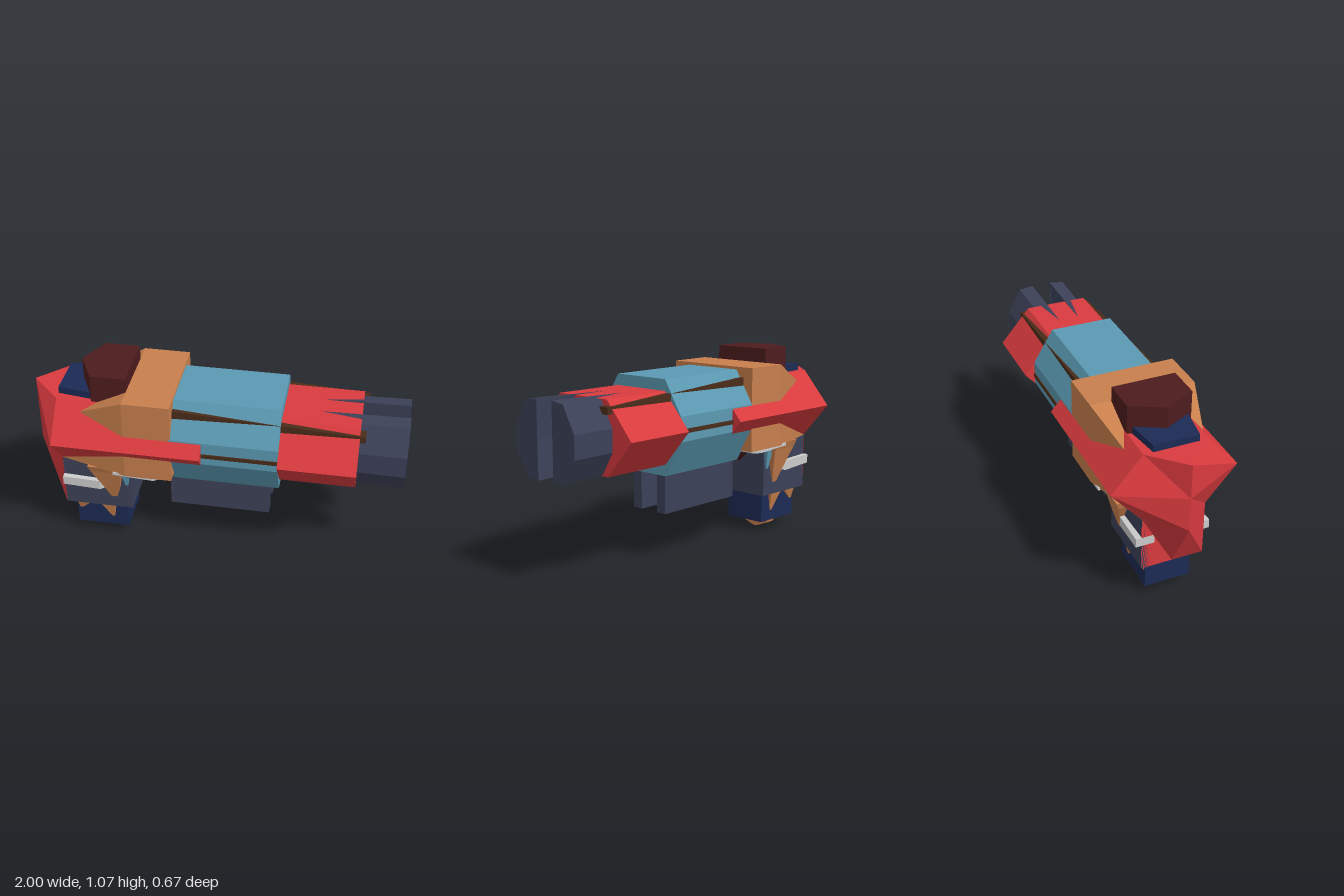
import * as THREE from 'three';

const RED = 0xd93a3e, ORANGE = 0xc87f4d, TEAL = 0x5b9ab3, SLATE = 0x3c4158;
const NAVY = 0x1c2a55, MAROON = 0x4e1c1e, BROWN = 0x4a2c1a, GREY = 0xcccccc;

export function createModel() {
  const model = new THREE.Group();

  function add(name, color, geometry) {
    const mesh = new THREE.Mesh(geometry, new THREE.MeshStandardMaterial({ color, flatShading: true }));
    mesh.name = name;
    model.add(mesh);
    return mesh;
  }

  // Box given by its limits on each axis
  function box(name, color, [x0, x1], [y0, y1], [z0, z1]) {
    const g = new THREE.BoxGeometry(x1 - x0, y1 - y0, z1 - z0);
    g.translate((x0 + x1) / 2, (y0 + y1) / 2, (z0 + z1) / 2);
    return add(name, color, g);
  }

  // Closed skin through matching rings of [x, y, z] corners, turned outward
  function loft(name, color, rings) {
    const tris = [], n = rings[0].length, last = rings[rings.length - 1];
    for (let r = 0; r + 1 < rings.length; r++) {
      for (let i = 0; i < n; i++) {
        const j = (i + 1) % n, a = rings[r], b = rings[r + 1];
        tris.push([a[i], a[j], b[j]], [a[i], b[j], b[i]]);
      }
    }
    for (let i = 1; i + 1 < n; i++) {
      tris.push([rings[0][0], rings[0][i + 1], rings[0][i]], [last[0], last[i], last[i + 1]]);
    }
    let volume = 0;
    for (const t of tris) {
      const [a, b, c] = t.map((p) => new THREE.Vector3(...p));
      volume += a.dot(b.cross(c));
    }
    if (volume < 0) tris.forEach((t) => t.reverse());
    const g = new THREE.BufferGeometry();
    g.setAttribute('position', new THREE.Float32BufferAttribute(tris.flat(2), 3));
    g.computeVertexNormals();
    return add(name, color, g);
  }

  const ringX = (x, zy) => zy.map(([z, y]) => [x, y, z]);
  const rectX = (x, y0, y1, z0, z1) => ringX(x, [[z0, y0], [z1, y0], [z1, y1], [z0, y1]]);
  const rectY = (y, x0, x1, z) => [[x0, y, -z], [x1, y, -z], [x1, y, z], [x0, y, z]];

  // Hexagonal red housing, rear and front
  const hex = [[0.17, 0.92], [0.335, 0.73], [0.17, 0.54], [-0.17, 0.54], [-0.335, 0.73], [-0.17, 0.92]];
  loft('rearBody', RED, [ringX(-0.835, hex), ringX(-0.05, hex)]);
  loft('frontBody', RED, [ringX(0.35, hex), ringX(0.75, hex)]);

  // Rear wedge closing to a vertical edge, with a guard reaching down the grip
  const wedge = [[0.17, 0.92], [0.335, 0.73], [0.17, 0.54], [-0.17, 0.54], [-0.335, 0.73], [-0.17, 0.92]];
  const edge = [[0, 0.92], [0, 0.73], [0, 0.54], [0, 0.54], [0, 0.73], [0, 0.92]];
  loft('rearWedge', RED, [ringX(-1, edge), ringX(-0.835, wedge)]);
  loft('rearGuard', RED, [
    [[-1, 0.54, 0], [-0.835, 0.54, 0.17], [-0.835, 0.54, -0.17]],
    [[-0.835, 0.23, 0], [-0.835, 0.23, 0.17], [-0.835, 0.23, -0.17]],
  ]);

  // Teal middle
  const oct = [[0.17, 0.98], [0.28, 0.8], [0.28, 0.67], [0.17, 0.48],
    [-0.17, 0.48], [-0.28, 0.67], [-0.28, 0.8], [-0.17, 0.98]];
  loft('midBody', TEAL, [ringX(-0.22, oct), ringX(0.35, oct)]);
  box('sideGroove', BROWN, [-0.2, 0.35], [0.713, 0.735], [-0.286, 0.286]);

  // Orange collar tapering to the rear
  loft('collar', ORANGE, [
    rectX(-0.835, 0.538, 0.81, -0.17, 0.17),
    rectX(-0.46, 0.538, 0.995, -0.28, 0.28),
    rectX(-0.21, 0.538, 0.995, -0.28, 0.28),
  ]);

  // Pointed sight block and the rear panel behind it
  const sight = [[-0.73, 0], [-0.645, 0.17], [-0.46, 0.17], [-0.46, -0.17], [-0.645, -0.17]];
  loft('sight', MAROON, [0.92, 1.073].map((y) => sight.map(([x, z]) => [x, y, z])));
  loft('rearPanel', NAVY, [
    rectX(-0.835, 0.7, 0.957, -0.12, 0.12),
    rectX(-0.6, 0.7, 0.96, -0.155, 0.155),
  ]);

  // Grip and its foot
  box('grip', SLATE, [-0.835, -0.46], [0.23, 0.56], [-0.168, 0.168]);
  box('gripFoot', NAVY, [-0.79, -0.5], [0.06, 0.24], [-0.124, 0.124]);

  // Orange core showing through the sides of the grip and below it
  loft('upperCore', ORANGE, [
    rectY(0.54, -0.68, -0.48, 0.235),
    rectY(0.5, -0.67, -0.5, 0.22),
    rectY(0.38, -0.61, -0.52, 0.19),
    rectY(0.27, -0.565, -0.55, 0.16),
  ]);
  for (const [x0, x1, tip, y] of [[-0.79, -0.67, -0.77, 0.16], [-0.67, -0.56, -0.585, 0.12]]) {
    loft('lowerCore', ORANGE, [rectY(0.25, x0, x1, 0.15), rectY(y, tip - 0.008, tip + 0.008, 0.126)]);
  }
  loft('coreTip', ORANGE, [
    rectY(0.07, -0.68, -0.585, 0.1),
    [[-0.65, 0.035, -0.092], [-0.595, 0.033, -0.092], [-0.595, 0.033, 0.092], [-0.65, 0.035, 0.092]],
    [[-0.61, 0.004, -0.01], [-0.595, 0.002, -0.01], [-0.595, 0.002, 0.01], [-0.61, 0.004, 0.01]],
  ]);

  // Trigger block with a V underside
  const vee = [[-0.062, 0.485], [-0.062, 0.53], [0.062, 0.53], [0.062, 0.485], [0, 0.422]];
  loft('trigger', MAROON, [ringX(-0.47, vee), ringX(-0.25, vee)]);
  loft('triggerFace', 0x66665c, [ringX(-0.25, vee), ringX(-0.245, vee)]);

  // Mirrored details
  const prong = [[0.055, 0.93], [0.135, 0.92], [0.21, 0.785], [0.21, 0.665],
    [0.135, 0.54], [0.055, 0.53], [0.066, 0.73]];
  for (const s of [1, -1]) {
    // Muzzle prong, flaring slightly forward
    const flare = (x, k) => prong.map(([z, y]) => [x, 0.73 + (y - 0.73) * k, s * (0.06 + (z - 0.06) * k)]);
    loft('muzzleProng', SLATE, [flare(0.36, 0.93), flare(0.995, 1)]);

    // Sloping side rail
    loft('sideRail', BROWN, [
      rectX(-0.3, 0.86, 0.945, s * 0.12, s * 0.222),
      rectX(0.78, 0.852, 0.888, s * 0.12, s * 0.207),
    ]);

    // Lower fore plate
    box('forePlate', SLATE, [-0.25, 0.295], [0.26, 0.52], s > 0 ? [0.057, 0.115] : [-0.115, -0.057]);

    // Pale fins below the collar and beside the grip
    loft('collarFin', GREY, [
      rectX(-0.53, 0.53, 0.545, s * 0.1, s * 0.27),
      rectX(-0.31, 0.517, 0.542, s * 0.1, s * 0.27),
      rectX(-0.27, 0.517, 0.525, s * 0.1, s * 0.24),
    ]);
    loft('gripFin', GREY, [
      rectX(-0.835, 0.375, 0.425, s * 0.1, s * 0.2),
      rectX(-0.63, 0.36, 0.415, s * 0.1, s * 0.195),
      rectX(-0.59, 0.37, 0.38, s * 0.1, s * 0.175),
    ]);

    // Teal strip at the front of the grip
    loft('gripStrip', TEAL, [
      rectY(0.52, -0.52, -0.462, 0.03),
      rectY(0.39, -0.49, -0.475, 0.01),
    ].map((ring) => ring.map(([x, y, z]) => [x, y, z + s * 0.166])));
  }

  return model;
}
